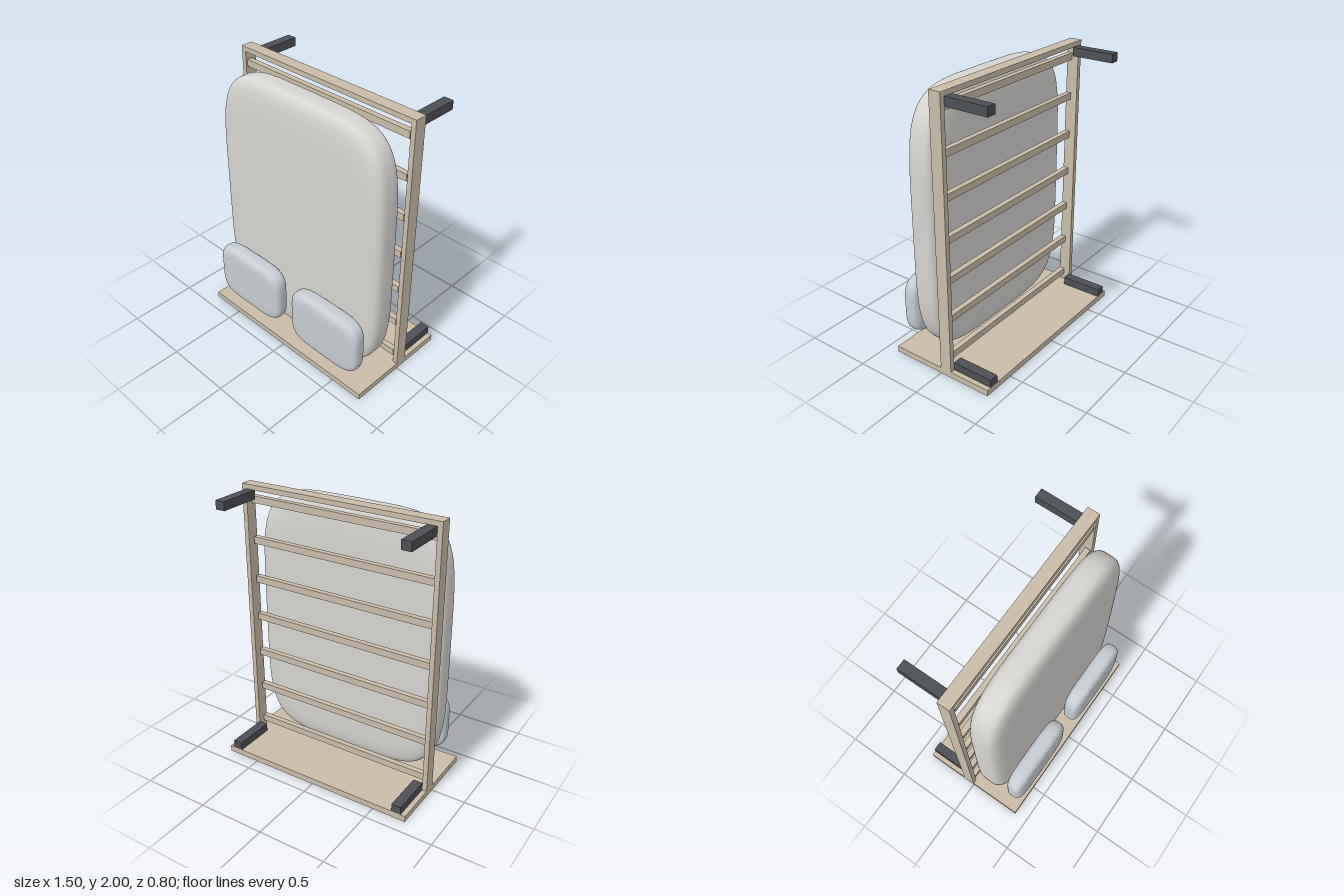
import * as THREE from 'three';
import { mergeVertices } from 'three/addons/utils/BufferGeometryUtils.js';

const material = (color) => new THREE.MeshStandardMaterial({ color });

// Box given by its lower and upper limits on each axis
function box(parent, name, mat, [x0, x1], [y0, y1], [z0, z1]) {
  const mesh = new THREE.Mesh(new THREE.BoxGeometry(x1 - x0, y1 - y0, z1 - z0), mat);
  mesh.position.set((x0 + x1) / 2, (y0 + y1) / 2, (z0 + z1) / 2);
  mesh.name = name;
  parent.add(mesh);
}

// Soft padded block: a sphere squared off in outline (p) and in edge profile (m, n)
function cushion(name, mat, half, center, p, m, n) {
  let geo = new THREE.SphereGeometry(1, 64, 40).rotateX(Math.PI / 2);
  const pos = geo.attributes.position;
  const pow = (v, e) => Math.sign(v) * Math.abs(v) ** e;
  for (let i = 0; i < pos.count; i++) {
    const x = pos.getX(i), y = pos.getY(i), z = pos.getZ(i);
    const s = Math.hypot(x, y);
    const r = s < 1e-6 ? 0 : s ** (2 / m);
    const c = s < 1e-6 ? 0 : x / s, d = s < 1e-6 ? 0 : y / s;
    pos.setXYZ(i,
      half[0] * r * pow(c, 2 / p),
      half[1] * r * pow(d, 2 / p),
      half[2] * pow(z, 2 / n));
  }
  // Weld the seam so the shading is smooth all round
  geo.deleteAttribute('uv');
  geo.deleteAttribute('normal');
  geo = mergeVertices(geo, 1e-5);
  geo.computeVertexNormals();
  const mesh = new THREE.Mesh(geo, mat);
  mesh.position.set(...center);
  mesh.name = name;
  return mesh;
}

export function createModel() {
  const bed = new THREE.Group();
  bed.name = 'uprightBed';
  const wood = material(0xc9bda8);
  const dark = material(0x4c4f55);
  const fabric = material(0xd6d4d0);
  const pillowFabric = material(0xc6cdd2);

  // Headboard lies on the ground, the bed stands on it
  box(bed, 'headboard', wood, [-0.75, 0.75], [0, 0.045], [-0.4, 0.4]);

  // Frame rails
  const back = -0.088, inner = 0.715;
  box(bed, 'footRail', wood, [-0.75, 0.75], [1.965, 2], [back, 0]);
  box(bed, 'rightRail', wood, [-0.75, -inner], [0.045, 1.965], [back, 0]);
  box(bed, 'leftRail', wood, [inner, 0.75], [0.045, 1.965], [back, 0]);

  // Slats
  for (let i = 0; i < 7; i++) {
    const y = 0.121 + i * 0.294;
    box(bed, 'slat', wood, [-0.706, 0.706], [y - 0.025, y + 0.025], [-0.045, -0.005]);
  }

  // Legs point backwards from the frame corners
  for (const [y0, y1] of [[0.045, 0.105], [1.905, 1.967]]) {
    box(bed, 'rightLeg', dark, [-inner, -0.645], [y0, y1], [-0.4, back]);
    box(bed, 'leftLeg', dark, [0.645, inner], [y0, y1], [-0.4, back]);
  }

  // Mattress and pillows
  bed.add(cushion('mattress', fabric, [0.73, 0.95, 0.113], [0, 1.005, 0.145], 5, 14, 3.5));
  for (const side of [-1, 1]) {
    bed.add(cushion(side < 0 ? 'rightPillow' : 'leftPillow', pillowFabric,
      [0.313, 0.224, 0.068], [side * 0.375, 0.355, 0.33], 4.5, 8, 3));
  }
  return bed;
}
